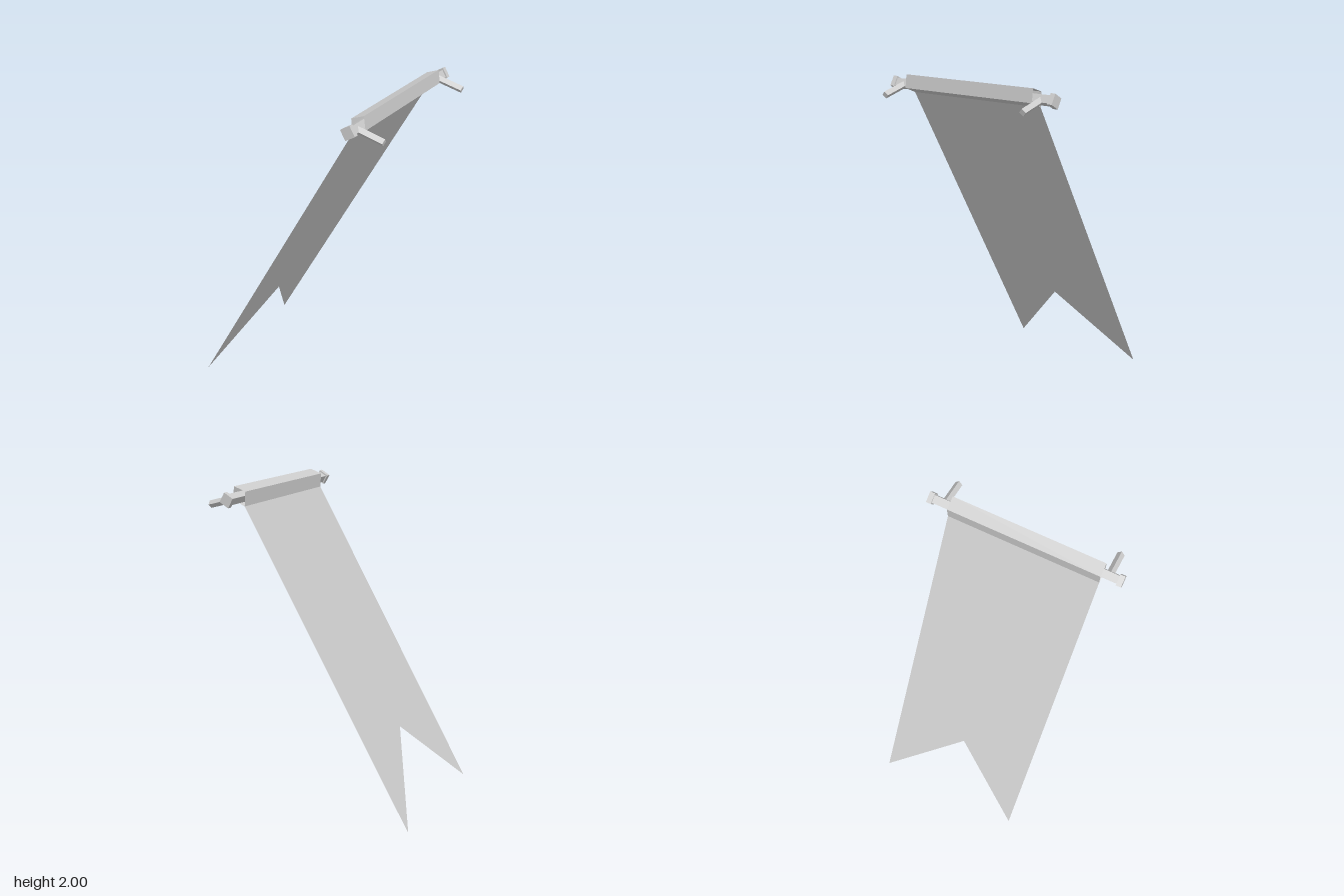
import * as THREE from 'three';

const material = new THREE.MeshStandardMaterial({ color: 0xcccccc, flatShading: true });
const clothMaterial = new THREE.MeshStandardMaterial({
  color: 0xcccccc, flatShading: true, side: THREE.DoubleSide,
});

const POLE = new THREE.Vector3(0.47, 1.936, 0); // pole axis, runs along z
const HEM = [[0.43, 1.885], [0.512, 1.919], [0.5, 2.0], [0.423, 1.973]]; // sleeve section
const Z_BACK = -0.472, Z_FRONT = 0.48; // cloth edges

function part(name, geometry, mat = material) {
  const mesh = new THREE.Mesh(geometry, mat);
  mesh.name = name;
  return mesh;
}

// Square bar along z, tilted with the cloth
function bar(name, side, z0, z1) {
  const mesh = part(name, new THREE.BoxGeometry(side, side, z1 - z0));
  mesh.position.set(POLE.x, POLE.y, (z0 + z1) / 2);
  mesh.rotation.z = Math.PI / 6;
  return mesh;
}

// Swallow-tailed cloth, a flat sheet sloping down from the sleeve
function cloth() {
  const top = new THREE.Vector3(HEM[0][0], HEM[0][1], 0);
  const up = top.clone().sub(new THREE.Vector3(-0.656, 0, 0));
  const length = up.length();
  up.normalize();
  const mid = (Z_BACK + Z_FRONT) / 2;
  const shape = new THREE.Shape([
    [Z_BACK, 0], [Z_BACK, -length], [mid, -length + 0.542], [Z_FRONT, -length], [Z_FRONT, 0],
  ].map(([x, y]) => new THREE.Vector2(x, y)));
  const across = new THREE.Vector3(0, 0, 1);
  const matrix = new THREE.Matrix4()
    .makeBasis(across, up, across.clone().cross(up))
    .setPosition(top);
  return part('cloth', new THREE.ShapeGeometry(shape).applyMatrix4(matrix), clothMaterial);
}

// Open four-sided sleeve wrapped round the pole
function sleeve() {
  const positions = [];
  HEM.forEach((a, i) => {
    const b = HEM[(i + 1) % HEM.length];
    const quad = [[...a, Z_BACK], [...b, Z_BACK], [...b, Z_FRONT], [...a, Z_FRONT]];
    for (const k of [0, 1, 2, 0, 2, 3]) positions.push(...quad[k]);
  });
  const geometry = new THREE.BufferGeometry();
  geometry.setAttribute('position', new THREE.Float32BufferAttribute(positions, 3));
  geometry.computeVertexNormals();
  return part('sleeve', geometry, clothMaterial);
}

// Diamond-section peg reaching out from the pole to the wall
function peg(name, z) {
  const end = new THREE.Vector3(0.645, 1.889, z);
  const start = new THREE.Vector3(POLE.x, POLE.y, z);
  const direction = end.clone().sub(start);
  const mesh = part(name, new THREE.CylinderGeometry(0.0225, 0.0225, direction.length(), 4));
  mesh.position.copy(start).add(end).multiplyScalar(0.5);
  mesh.rotation.z = Math.atan2(direction.y, direction.x) - Math.PI / 2;
  return mesh;
}

export function createModel() {
  const group = new THREE.Group();
  group.name = 'hangingBanner';
  group.add(
    cloth(),
    sleeve(),
    bar('pole', 0.048, -0.59, 0.59),
    bar('frontPoleCap', 0.066, 0.574, 0.605),
    bar('backPoleCap', 0.066, -0.608, -0.577),
    peg('frontPeg', 0.519),
    peg('backPeg', -0.51),
  );
  return group;
}
